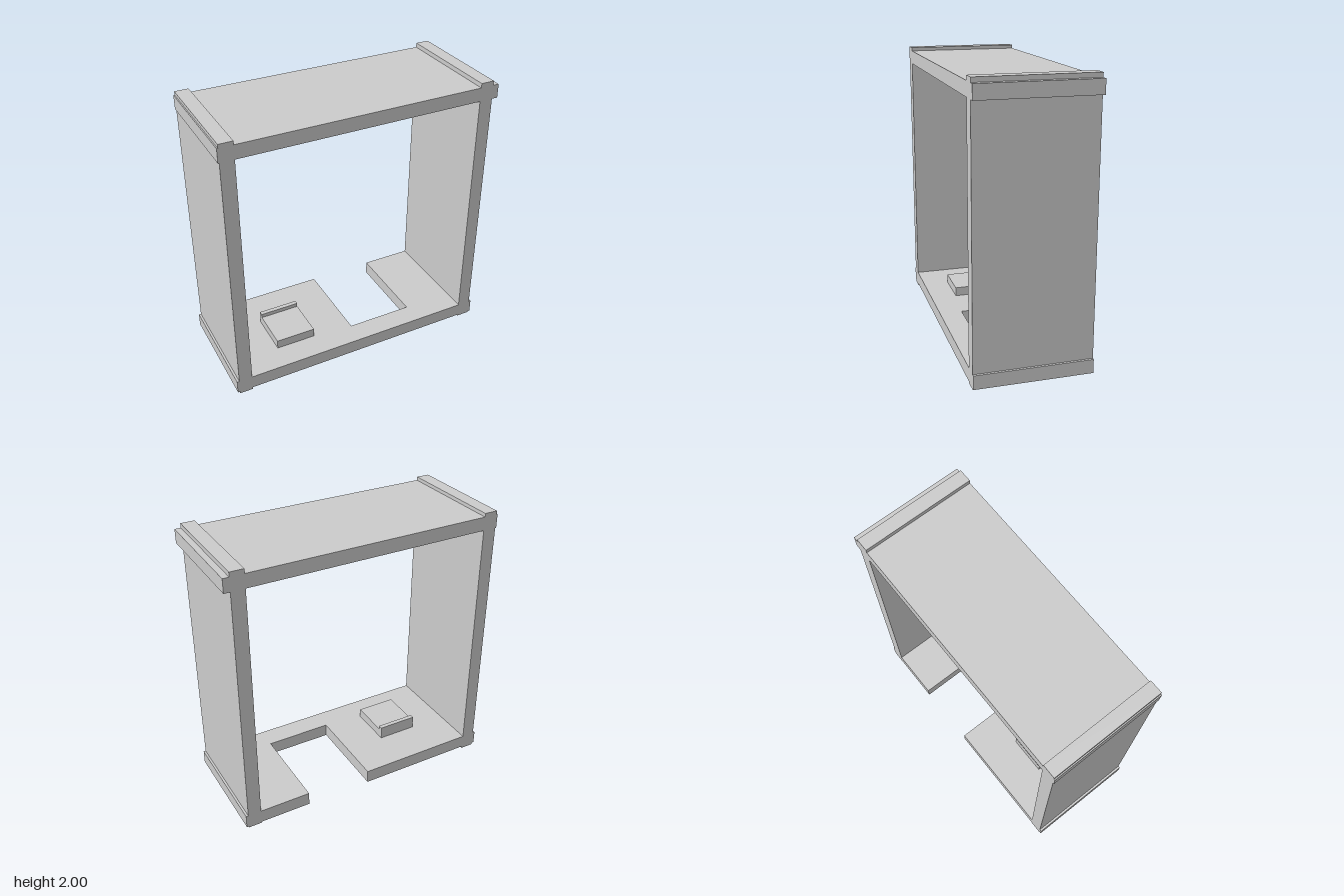
import * as THREE from 'three';

const DEPTH = 0.8;
const material = new THREE.MeshStandardMaterial({ color: 0xcccccc, flatShading: true });

// Box given by its limits on each axis
function box(name, [x0, x1], [y0, y1], [z0, z1]) {
  const mesh = new THREE.Mesh(new THREE.BoxGeometry(x1 - x0, y1 - y0, z1 - z0), material);
  mesh.name = name;
  mesh.position.set((x0 + x1) / 2, (y0 + y1) / 2, (z0 + z1) / 2);
  return mesh;
}

// Floor board with a rectangular notch cut in from its back edge
function floorBoard() {
  const h = DEPTH / 2, bottom = 0.066, top = 0.163;
  // Outline in (x, -z), laid flat by the rotation below
  const outline = [
    [-0.979, -h], [0.947, -h], [0.947, h], [0.467, h],
    [0.467, -0.24], [-0.013, -0.24], [-0.013, h], [-0.979, h],
  ].map(([x, y]) => new THREE.Vector2(x, y));
  const geometry = new THREE.ExtrudeGeometry(new THREE.Shape(outline), {
    depth: top - bottom, bevelEnabled: false,
  });
  geometry.rotateX(-Math.PI / 2);
  geometry.translate(0, bottom, 0);
  const mesh = new THREE.Mesh(geometry, material);
  mesh.name = 'floorBoard';
  return mesh;
}

export function createModel() {
  const model = new THREE.Group();
  model.name = 'boxFrame';
  const z = [-DEPTH / 2, DEPTH / 2];

  // Four boards crossing at the corners
  model.add(
    floorBoard(),
    box('topBoard', [-0.971, 0.973], [1.873, 1.969], z),
    box('rightWall', [-0.963, -0.868], [0.051, 1.994], z),
    box('leftWall', [0.836, 0.931], [0.057, 2], z),
  );

  // Clip block on the floor, with a rear lip and two tabs through the board
  const clip = new THREE.Group();
  clip.name = 'floorClip';
  const x = [-0.595, -0.307];
  clip.add(
    box('clipBlock', x, [0.15, 0.228], [-0.077, 0.18]),
    box('frontTab', x, [0, 0.228], [0.18, 0.213]),
    box('rearTabAndLip', x, [0.034, 0.257], [-0.109, -0.077]),
  );
  model.add(clip);
  return model;
}
